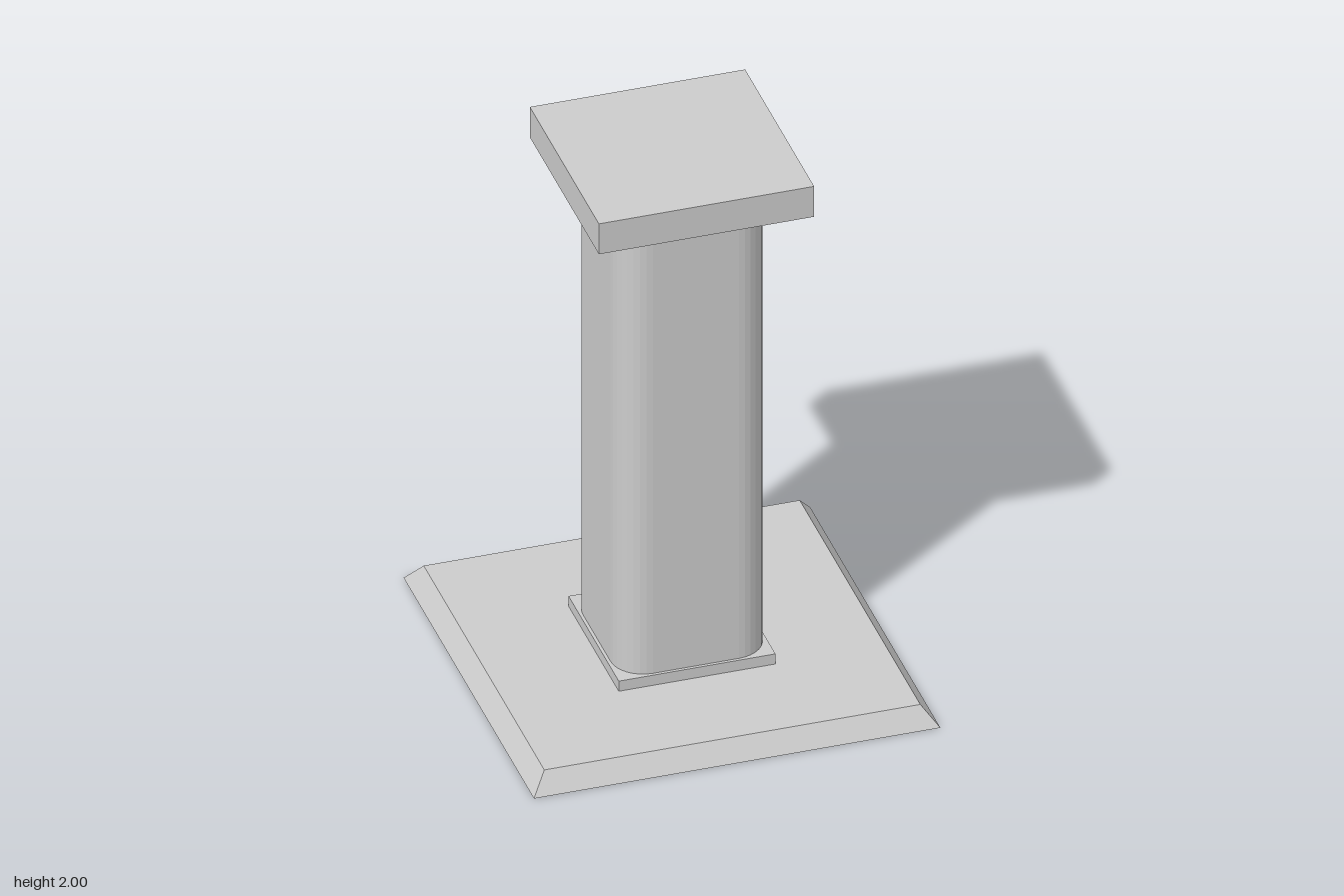
import * as THREE from 'three';

const material = new THREE.MeshStandardMaterial({ color: 0xcccccc, flatShading: true });

export function createModel() {
  const group = new THREE.Group();
  group.name = 'pedestal';

  const add = (name, geometry, y) => {
    const mesh = new THREE.Mesh(geometry, material);
    mesh.name = name;
    mesh.position.y = y;
    group.add(mesh);
  };

  // Square slab between two heights
  const slab = (name, half, y0, y1) =>
    add(name, new THREE.BoxGeometry(half * 2, y1 - y0, half * 2), (y0 + y1) / 2);

  // Base: square frustum with sloping sides
  const base = new THREE.CylinderGeometry(0.655 * Math.SQRT2, 0.708 * Math.SQRT2, 0.07, 4);
  base.rotateY(Math.PI / 4);
  add('base', base, 0.035);

  slab('plinth', 0.273, 0.07, 0.11);

  // Shaft: square column with faceted round corners
  const half = 0.262, radius = 0.112, c = half - radius;
  const outline = new THREE.Shape();
  [[c, c], [-c, c], [-c, -c], [c, -c]].forEach(([x, y], i) =>
    outline.absarc(x, y, radius, i * Math.PI / 2, (i + 1) * Math.PI / 2, false));
  outline.closePath();
  const shaft = new THREE.ExtrudeGeometry(outline, { depth: 1.72, bevelEnabled: false, curveSegments: 4 });
  shaft.rotateX(-Math.PI / 2);
  add('shaft', shaft, 0.11);

  slab('neck', 0.295, 1.83, 1.88);
  slab('cap', 0.375, 1.88, 2);

  return group;
}
